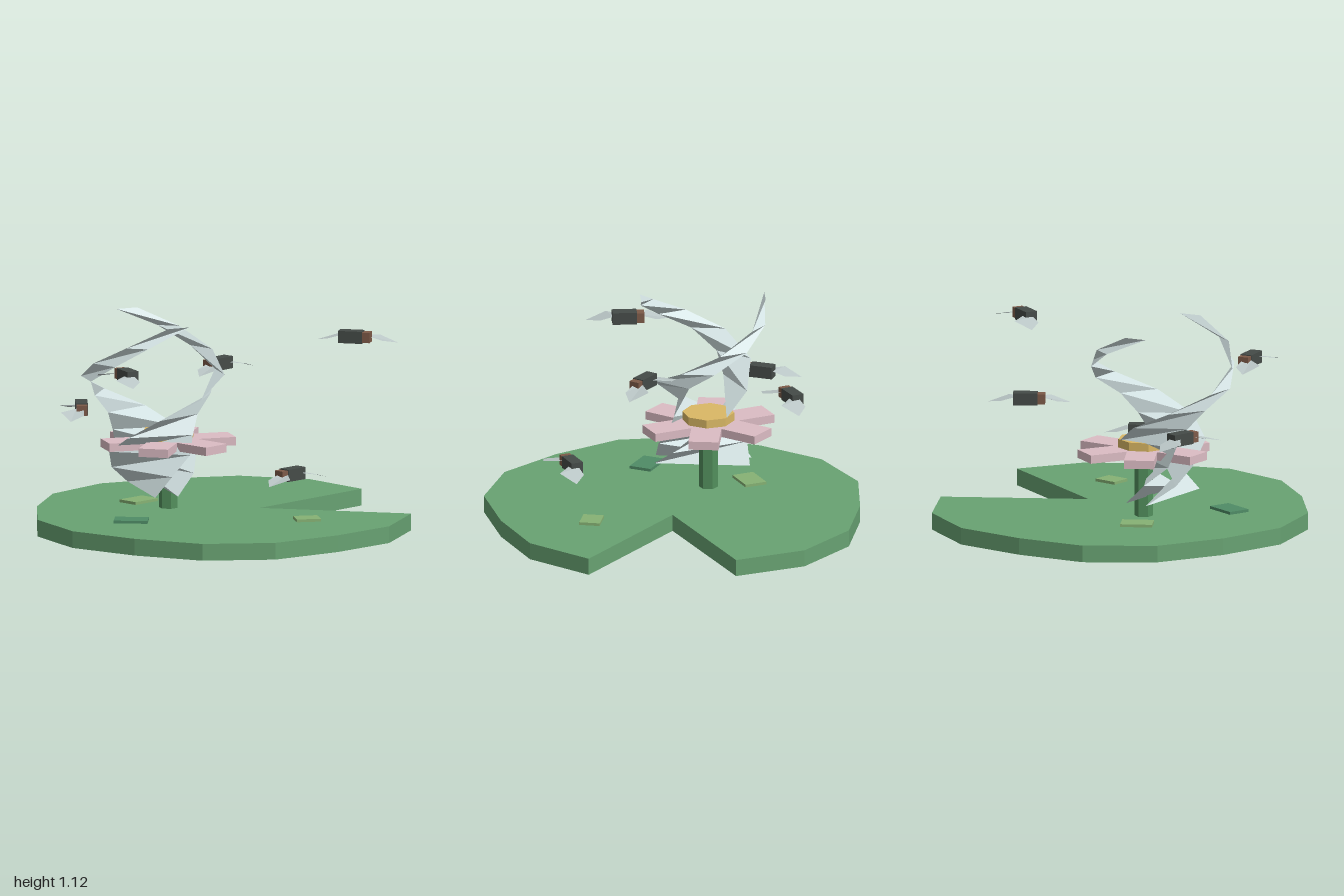
import * as THREE from 'three';

const mat = (color, side = THREE.FrontSide) =>
  new THREE.MeshStandardMaterial({ color, flatShading: true, side });

function add(parent, name, geometry, material, x = 0, y = 0, z = 0, turn = 0) {
  const mesh = new THREE.Mesh(geometry, material);
  mesh.name = name;
  mesh.position.set(x, y, z);
  mesh.rotation.y = turn;
  parent.add(mesh);
  return mesh;
}

// Lily pad: notched polygon, extruded upward
function padGeometry() {
  const outline = [
    [0.03, -1], [0.42, -0.97], [0.75, -0.76], [0.93, -0.41], [0.25, -0.02], [0.97, 0.37],
    [0.75, 0.7], [0.41, 0.88], [0.03, 1], [-0.35, 0.92], [-0.65, 0.67], [-0.9, 0.36],
    [-0.98, -0.02], [-0.87, -0.4], [-0.68, -0.74], [-0.35, -0.96],
  ];
  const shape = new THREE.Shape(outline.map(([x, z]) => new THREE.Vector2(x, -z)));
  return new THREE.ExtrudeGeometry(shape, { depth: 0.09, bevelEnabled: false }).rotateX(-Math.PI / 2);
}

// Ribbon: level rows, each lying along the tangent of a widening spiral
function ribbonGeometry() {
  const radius = [0.063, 0.085, 0.075, 0.14, 0.19, 0.29, 0.37, 0.375, 0.36, 0.33];
  const half = [0.255, 0.22, 0.22, 0.18, 0.145, 0.11, 0.09, 0.08, 0.06, 0.06];
  const points = [], index = [];
  radius.forEach((r, i) => {
    const a = THREE.MathUtils.degToRad((6 - i) * 30 - (i === 9 ? 8 : 0));
    const y = 0.2 + (i * 0.92) / 9;
    for (const s of [-1, 1]) {
      const h = s * half[i];
      points.push(r * Math.cos(a) - h * Math.sin(a), y, r * Math.sin(a) + h * Math.cos(a));
    }
    if (i > 0) {
      const k = i * 2;
      index.push(k - 2, k - 1, k, k - 1, k + 1, k);
    }
  });
  const g = new THREE.BufferGeometry();
  g.setAttribute('position', new THREE.Float32BufferAttribute(points, 3));
  g.setIndex(index);
  g.computeVertexNormals();
  return g;
}

// Wing: flat five-sided blade that droops toward its tip
function wingGeometry(side) {
  const blade = [[0.045, 0.03], [0.08, -0.01], [0.15, -0.01], [0.22, 0.063], [0.11, 0.112]];
  const g = new THREE.ShapeGeometry(new THREE.Shape(blade.map(([u, v]) => new THREE.Vector2(side * u, v))));
  g.rotateX(-Math.PI / 2);
  const p = g.attributes.position;
  for (let i = 0; i < p.count; i++) p.setY(i, 0.005 - 0.28 * Math.max(0, Math.abs(p.getX(i)) - 0.08));
  g.computeVertexNormals();
  return g;
}

export function createModel() {
  const model = new THREE.Group();
  model.name = 'lilyPadScene';
  const brightGreen = mat(0x86b274), deepGreen = mat(0x4f8c66);
  const pink = mat(0xdcbcc4), yellow = mat(0xdab865);
  const dark = mat(0x454b48), brown = mat(0x7d5a48);
  const wingMat = mat(0xbcc8c8, THREE.DoubleSide);
  const ribbonMat = mat(0xd0dfe0, THREE.DoubleSide);

  add(model, 'lilyPad', padGeometry(), mat(0x68a272));

  // Small leaves lying on the pad
  add(model, 'leafRight', new THREE.BoxGeometry(0.13, 0.02, 0.11), brightGreen, 0.385, 0.095, 0.4, -0.1);
  add(model, 'leafLeft', new THREE.BoxGeometry(0.18, 0.02, 0.12), deepGreen, -0.52, 0.095, 0.175, -0.35);
  add(model, 'leafBack', new THREE.BoxGeometry(0.17, 0.02, 0.12), brightGreen, -0.31, 0.095, -0.385, 0.5);

  // Flower: stem, six petals as three crossing bars, and a centre disc
  const flower = new THREE.Group();
  flower.name = 'flower';
  flower.position.set(-0.21, 0, -0.175);
  model.add(flower);
  add(flower, 'stem', new THREE.CylinderGeometry(0.05, 0.05, 0.35, 6), mat(0x528f5c), 0, 0.255, 0);
  for (let i = 0; i < 3; i++) {
    add(flower, 'petalPair', new THREE.BoxGeometry(0.7, 0.045, 0.16), pink, 0, 0.4425, 0, (i * Math.PI) / 3);
  }
  add(flower, 'flowerCentre', new THREE.CylinderGeometry(0.138, 0.138, 0.06, 8), yellow, 0, 0.48, 0);

  // Two spiral ribbons, half a turn apart
  const ribbon = ribbonGeometry();
  for (const turn of [0, Math.PI]) add(model, 'spiralRibbon', ribbon, ribbonMat, -0.307, 0, -0.138, turn);

  // Flying insects: x, y, z, heading (x, z) and wing lean
  const insects = [
    [0.74, 1.008, 0.1, 0.87, 0.5, 1],
    [0.205, 0.762, -0.645, -0.85, 0.52, 1],
    [0.255, 0.365, 0.52, -0.88, 0.47, 1],
    [-0.58, 0.9, 0.28, -0.15, -0.98, 1],
    [-0.62, 0.605, -0.41, -0.26, 0.97, -1],
  ];
  for (const [x, y, z, hx, hz, lean] of insects) {
    const insect = new THREE.Group();
    insect.name = 'insect';
    insect.position.set(x, y, z);
    insect.rotation.y = Math.atan2(-hz, hx);
    insect.scale.z = lean;
    add(insect, 'body', new THREE.BoxGeometry(0.13, 0.065, 0.065), dark, -0.02);
    add(insect, 'head', new THREE.BoxGeometry(0.04, 0.055, 0.058), brown, 0.065);
    for (const side of [-1, 1]) add(insect, 'wing', wingGeometry(side), wingMat);
    model.add(insect);
  }
  return model;
}
